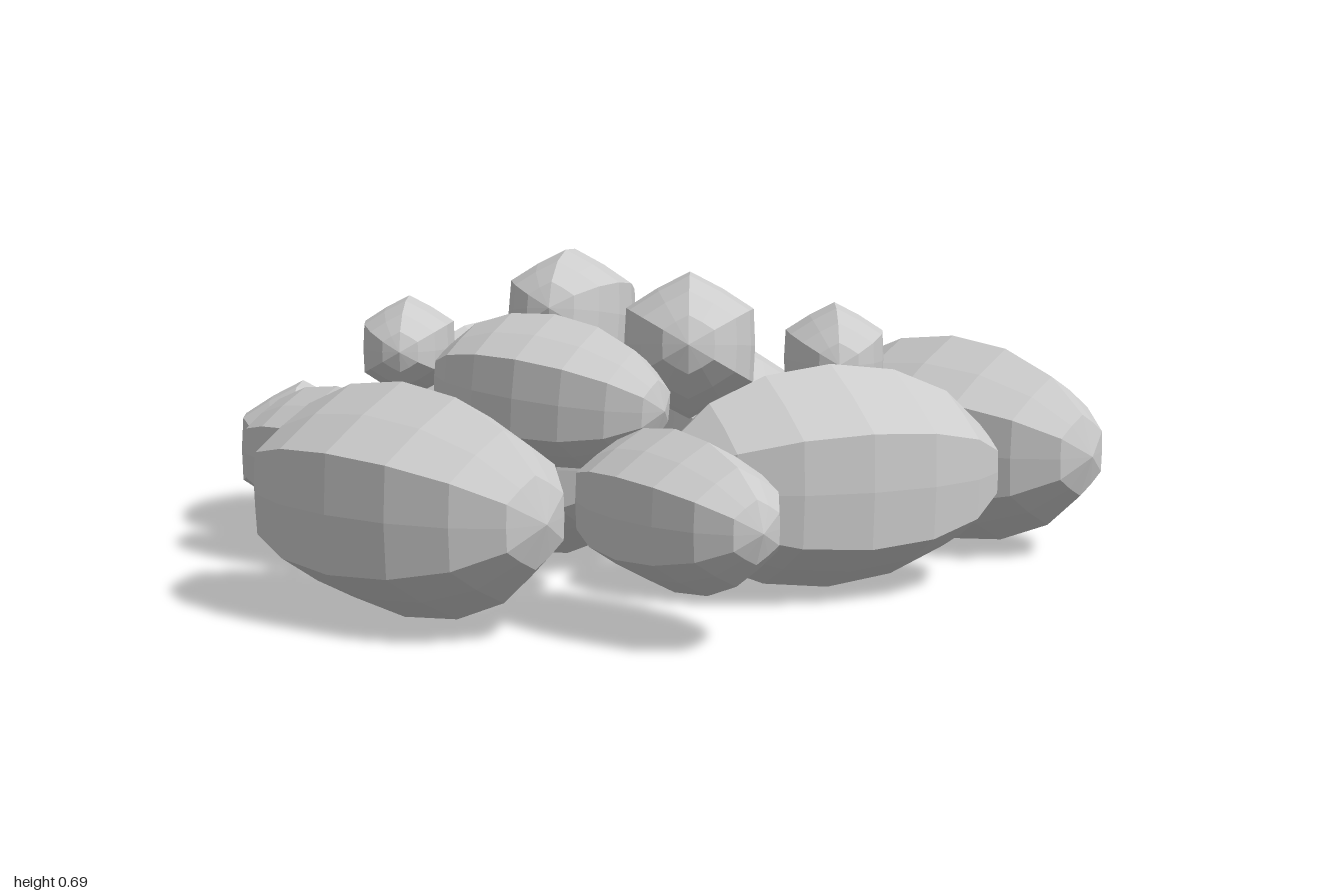
import * as THREE from 'three';

// Unit pod along z: a 12 x 8 ellipsoid with six raised ridges, one facing up
function podGeometry() {
  const g = new THREE.SphereGeometry(1, 12, 8);
  g.rotateX(Math.PI / 2);
  const p = g.attributes.position;
  for (let i = 0; i < p.count; i++) {
    const x = p.getX(i), y = p.getY(i);
    const k = 0.945 - 0.055 * Math.cos(6 * Math.atan2(y, x));
    p.setXY(i, x * k, y * k);
  }
  g.computeVertexNormals();
  return g;
}

// Half length and ridge radius of each size
const SIZES = {
  large: [0.4, 0.245],
  medium: [0.285, 0.165],
  small: [0.245, 0.13],
  tiny: [0.2, 0.115],
};

// Size, centre, direction of the long axis
const PODS = [
  // bottom layer
  ['large', [-0.74, 0.245, 0.23], [0.09, 0, 1]],
  ['large', [0.73, 0.245, 0.485], [0.02, 0, 1]],
  ['large', [0.11, 0.245, 0.64], [0.92, 0, 0.39]],
  ['large', [0.29, 0.245, -0.6], [1, 0, 0.06]],
  ['large', [0.45, 0.245, -0.055], [0.53, 0, -0.85]],
  ['large', [-0.12, 0.245, -0.1], [0.01, 0, 1]],
  ['medium', [-0.255, 0.185, -0.77], [0.7, -0.1, -0.71]],
  ['medium', [-0.5, 0.24, -0.305], [0.08, 0, 1]],
  ['medium', [-0.44, 0.25, 0.715], [-0.16, 0, 0.98]],
  // top layer
  ['medium', [-0.37, 0.44, 0.27], [0.25, -0.08, 0.96]],
  ['medium', [0.045, 0.505, 0.28], [0.72, -0.12, -0.69]],
  ['medium', [0.18, 0.52, -0.25], [0.81, -0.17, -0.58]],
  ['small', [0.445, 0.45, 0.36], [0.72, -0.05, -0.69]],
  ['tiny', [-0.4, 0.5, -0.165], [0.71, -0.05, -0.7]],
];

export function createModel() {
  const group = new THREE.Group();
  group.name = 'podPile';
  const geometry = podGeometry();
  const material = new THREE.MeshStandardMaterial({ color: 0xcccccc, flatShading: true });
  PODS.forEach(([size, centre, dir], i) => {
    const [length, radius] = SIZES[size];
    const pod = new THREE.Mesh(geometry, material);
    pod.name = `${size}Pod${i + 1}`;
    pod.position.set(...centre);
    pod.lookAt(new THREE.Vector3(...dir).add(pod.position));
    pod.scale.set(radius, radius, length);
    group.add(pod);
  });
  return group;
}
